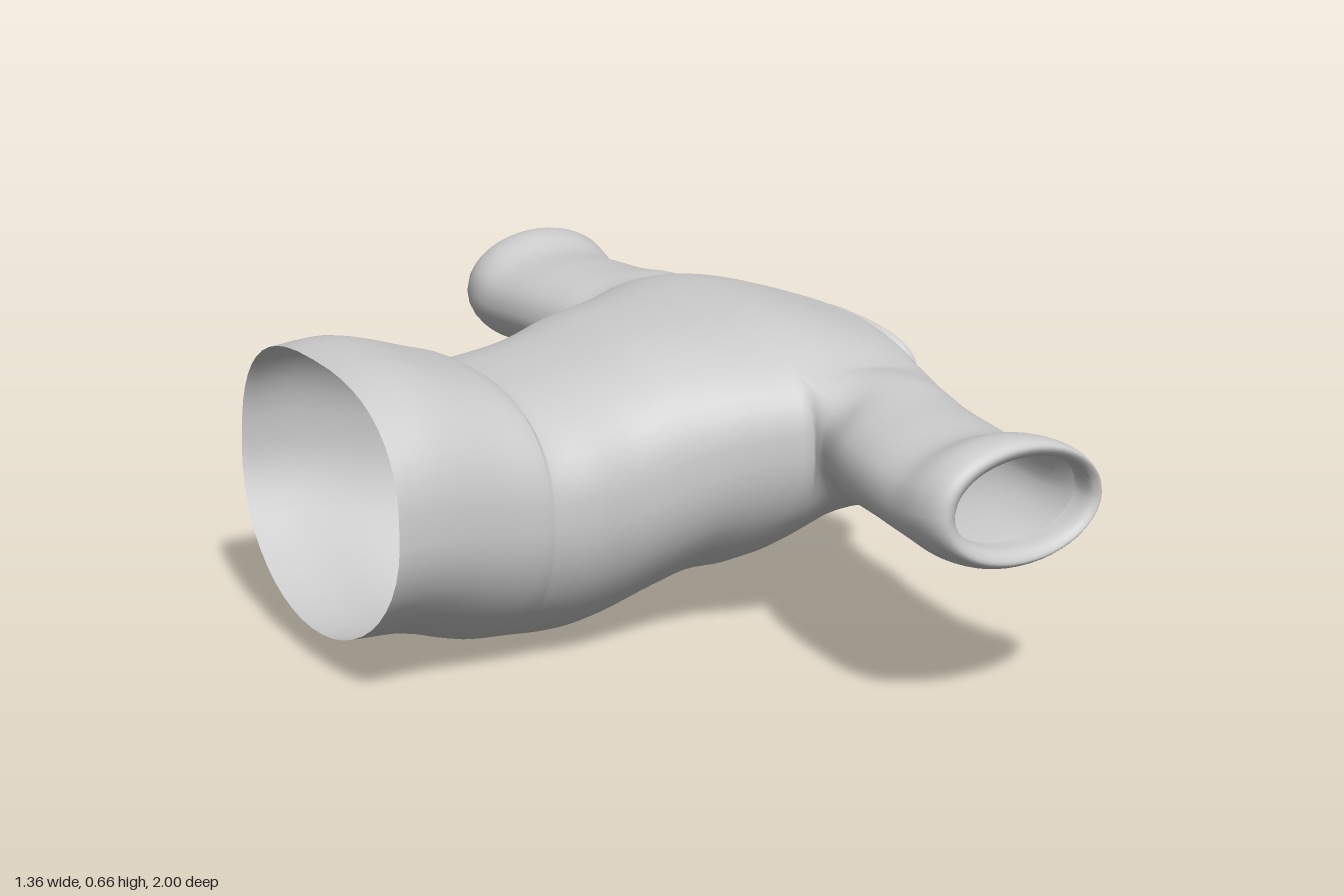
import * as THREE from 'three';

const material = new THREE.MeshStandardMaterial({ color: 0xcccccc, side: THREE.DoubleSide });
const AROUND = 48, STEPS = 4;
const wrap = (j) => (j + AROUND) % AROUND;

// Torso rings: x at top, side and bottom, then y top, y bottom, half width, y of the side
const rings = [
  [-0.66, -0.66, -0.68, 0.65, 0.075, 0.39, 0.36],
  [-0.55, -0.55, -0.55, 0.66, 0.065, 0.382, 0.36],
  [-0.4, -0.4, -0.4, 0.62, 0.02, 0.366, 0.34],
  [-0.31, -0.31, -0.31, 0.588, 0.011, 0.362, 0.33],
  [-0.297, -0.297, -0.297, 0.571, 0.01, 0.36, 0.33],
  [-0.2, -0.2, -0.2, 0.575, 0.005, 0.367, 0.33],
  [-0.1, -0.1, -0.1, 0.597, 0.02, 0.36, 0.34],
  [0, 0, 0, 0.63, 0.055, 0.37, 0.37],
  [0.1, 0.1, 0.1, 0.643, 0.088, 0.395, 0.4],
  [0.18, 0.18, 0.18, 0.653, 0.094, 0.43, 0.42],
  [0.25, 0.25, 0.25, 0.664, 0.115, 0.46, 0.43], // sleeve opening starts
  [0.33, 0.33, 0.33, 0.668, 0.155, 0.465, 0.43],
  [0.42, 0.42, 0.39, 0.652, 0.19, 0.46, 0.43],
  [0.5, 0.51, 0.44, 0.628, 0.215, 0.44, 0.43],
  [0.565, 0.588, 0.49, 0.606, 0.24, 0.385, 0.43], // sleeve opening ends
  [0.6, 0.612, 0.52, 0.595, 0.252, 0.29, 0.43],
  [0.625, 0.635, 0.54, 0.581, 0.255, 0.2, 0.44],
];
const armStart = 10 * STEPS, armEnd = 14 * STEPS, armHalf = 5;

// Sleeve rings: z, x from, x to, y from, y to; the last ones turn inward as a hem
const sleeveRings = [
  [0.5, 0.245, 0.585, 0.315, 0.585],
  [0.6, 0.21, 0.565, 0.335, 0.575],
  [0.72, 0.185, 0.55, 0.345, 0.57],
  [0.85, 0.172, 0.547, 0.34, 0.567],
  [0.93, 0.17, 0.555, 0.328, 0.592],
  [0.985, 0.185, 0.57, 0.333, 0.59],
  [1, 0.205, 0.57, 0.345, 0.575],
  [0.985, 0.23, 0.555, 0.365, 0.555],
  [0.94, 0.235, 0.55, 0.37, 0.555],
];

// Point on a torso ring: flatter above the side line, rounder below
function ringPoint([xT, xS, xB, yT, yB, w, yS], j) {
  const a = (j / AROUND) * Math.PI * 2, s = Math.sin(a), c = Math.cos(a);
  const e = s > 0 ? 2 / 2.6 : 1;
  const y = yS + Math.sign(s) * Math.abs(s) ** e * (s > 0 ? yT - yS : yS - yB);
  const z = Math.sign(c) * Math.abs(c) ** e * w;
  const x = xS + (s * (xT - xB)) / 2 + s * s * ((xT + xB) / 2 - xS);
  return new THREE.Vector3(x, y, z);
}

const smooth = (points, steps) =>
  new THREE.CatmullRomCurve3(points).getPoints((points.length - 1) * steps);

function makeMesh(name, points, index) {
  const geometry = new THREE.BufferGeometry().setFromPoints(points);
  geometry.setIndex(index);
  geometry.computeVertexNormals();
  const mesh = new THREE.Mesh(geometry, material);
  mesh.name = name;
  return mesh;
}

// Torso and sleeves share one skin, so the inside stays open
function makeShell() {
  const points = [], index = [];
  const quad = (a, b, c, d, flip) =>
    flip ? index.push(a, c, b, a, d, c) : index.push(a, b, c, a, c, d);

  const strands = [];
  for (let j = 0; j < AROUND; j++) strands.push(smooth(rings.map((r) => ringPoint(r, j)), STEPS));
  const rows = strands[0].length;
  for (let i = 0; i < rows; i++) strands.forEach((s) => points.push(s[i]));
  const id = (i, j) => i * AROUND + wrap(j);

  // Torso, leaving a sleeve opening on each side
  for (let i = 0; i < rows - 1; i++) {
    for (let j = 0; j < AROUND; j++) {
      const nearSide = [0, AROUND / 2, AROUND].some((m) => j >= m - armHalf && j < m + armHalf);
      if (i >= armStart && i < armEnd && nearSide) continue;
      quad(id(i, j), id(i + 1, j), id(i + 1, j + 1), id(i, j + 1), false);
    }
  }

  // Sleeves grow from the rim of each opening
  for (const side of [1, -1]) {
    const col = (j) => (side > 0 ? j : AROUND / 2 - j);
    const rim = [];
    for (let i = armStart; i < armEnd; i++) rim.push(id(i, col(-armHalf)));
    for (let j = -armHalf; j < armHalf; j++) rim.push(id(armEnd, col(j)));
    for (let i = armEnd; i > armStart; i--) rim.push(id(i, col(armHalf)));
    for (let j = armHalf; j > -armHalf; j--) rim.push(id(armStart, col(j)));

    const columns = rim.map((start) => {
      const p = points[start];
      const a = Math.atan2(p.y - 0.43, p.x - 0.42);
      const path = sleeveRings.map(([z, x0, x1, y0, y1]) => new THREE.Vector3(
        (x0 + x1) / 2 + (Math.cos(a) * (x1 - x0)) / 2,
        (y0 + y1) / 2 + (Math.sin(a) * (y1 - y0)) / 2,
        side * z));
      const ids = [start];
      smooth([p, ...path], STEPS).slice(1).forEach((q) => ids.push(points.push(q) - 1));
      return ids;
    });
    columns.forEach((c, k) => {
      const n = columns[(k + 1) % columns.length];
      for (let s = 0; s < c.length - 1; s++) quad(c[s], n[s], n[s + 1], c[s + 1], side < 0);
    });
  }
  return makeMesh('torsoAndSleeves', points, index);
}

// Standing collar band, open at the throat
function makeCollar() {
  const neck = rings[rings.length - 1];
  const middle = [0.633, 0.66, 0.555, 0.582, 0.25, 0.208, 0.45];
  const edge = [0.638, 0.678, 0.575, 0.58, 0.25, 0.203, 0.46];
  const points = [], index = [];
  const first = -9, last = AROUND / 2 + 9;
  for (let j = first; j <= last; j++) {
    points.push(...smooth([neck, middle, edge].map((r) => ringPoint(r, j)), 2));
  }
  for (let j = 0; j < last - first; j++) {
    for (let s = 0; s < 4; s++) {
      const a = j * 5 + s;
      index.push(a, a + 1, a + 6, a, a + 6, a + 5);
    }
  }
  return makeMesh('collar', points, index);
}

export function createModel() {
  const group = new THREE.Group();
  group.name = 'jacket';
  group.add(makeShell(), makeCollar());
  return group;
}
